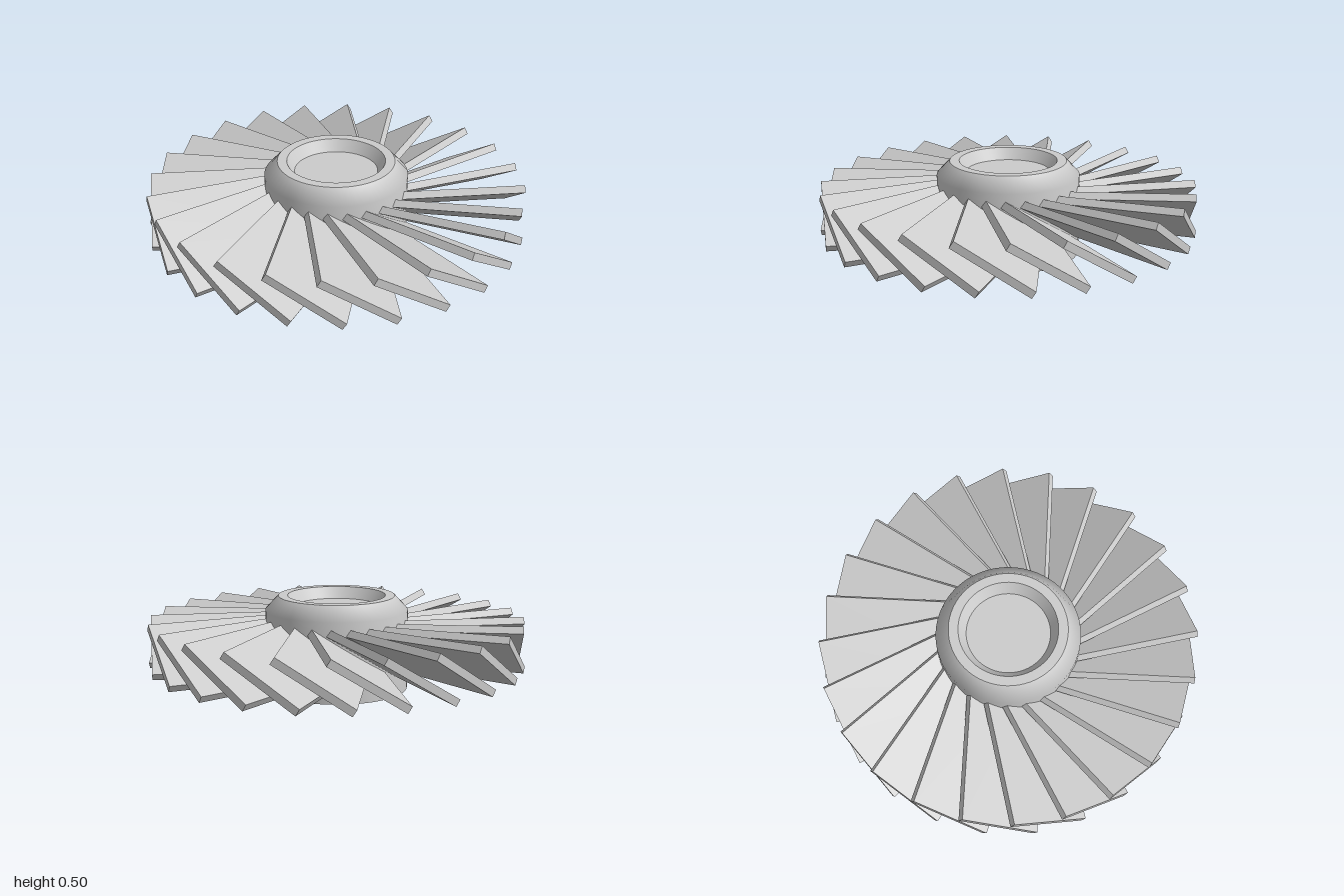
import * as THREE from 'three';

const BLADES = 24;
const BLADE_LENGTH = 0.98;
const BLADE_PITCH = THREE.MathUtils.degToRad(-32);

export function createModel() {
  const model = new THREE.Group();
  model.name = 'turbineWheel';
  const material = new THREE.MeshStandardMaterial({ color: 0xcccccc });
  const shellMaterial = new THREE.MeshStandardMaterial({ color: 0xcccccc, side: THREE.DoubleSide });

  // Hub: thin shell open at the bottom; separate lathes keep the rim edges sharp
  const hub = new THREE.Group();
  hub.name = 'hub';
  const addRing = (name, profile) => {
    const points = profile.map(([r, y]) => new THREE.Vector2(r, y));
    const ring = new THREE.Mesh(new THREE.LatheGeometry(points, 64), shellMaterial);
    ring.name = name;
    hub.add(ring);
  };
  addRing('hubWall', [[0.38, 0], [0.38, 0.425], [0.31, 0.5]]);
  addRing('hubRim', [[0.31, 0.5], [0.26, 0.5]]);
  addRing('recessBevel', [[0.26, 0.5], [0.22, 0.44]]);
  addRing('recessFloor', [[0.22, 0.44], [0, 0.44]]);
  model.add(hub);

  // Blades: pitched flat slabs running from the axis outwards
  const bladeGeometry = new THREE.BoxGeometry(0.445, 0.04, BLADE_LENGTH);
  bladeGeometry.rotateZ(BLADE_PITCH);
  bladeGeometry.translate(0, 0.25, BLADE_LENGTH / 2);
  const blades = new THREE.Group();
  blades.name = 'blades';
  for (let i = 0; i < BLADES; i++) {
    const blade = new THREE.Mesh(bladeGeometry, material);
    blade.name = `blade${i + 1}`;
    blade.rotation.y = (i / BLADES) * Math.PI * 2;
    blades.add(blade);
  }
  model.add(blades);

  return model;
}
